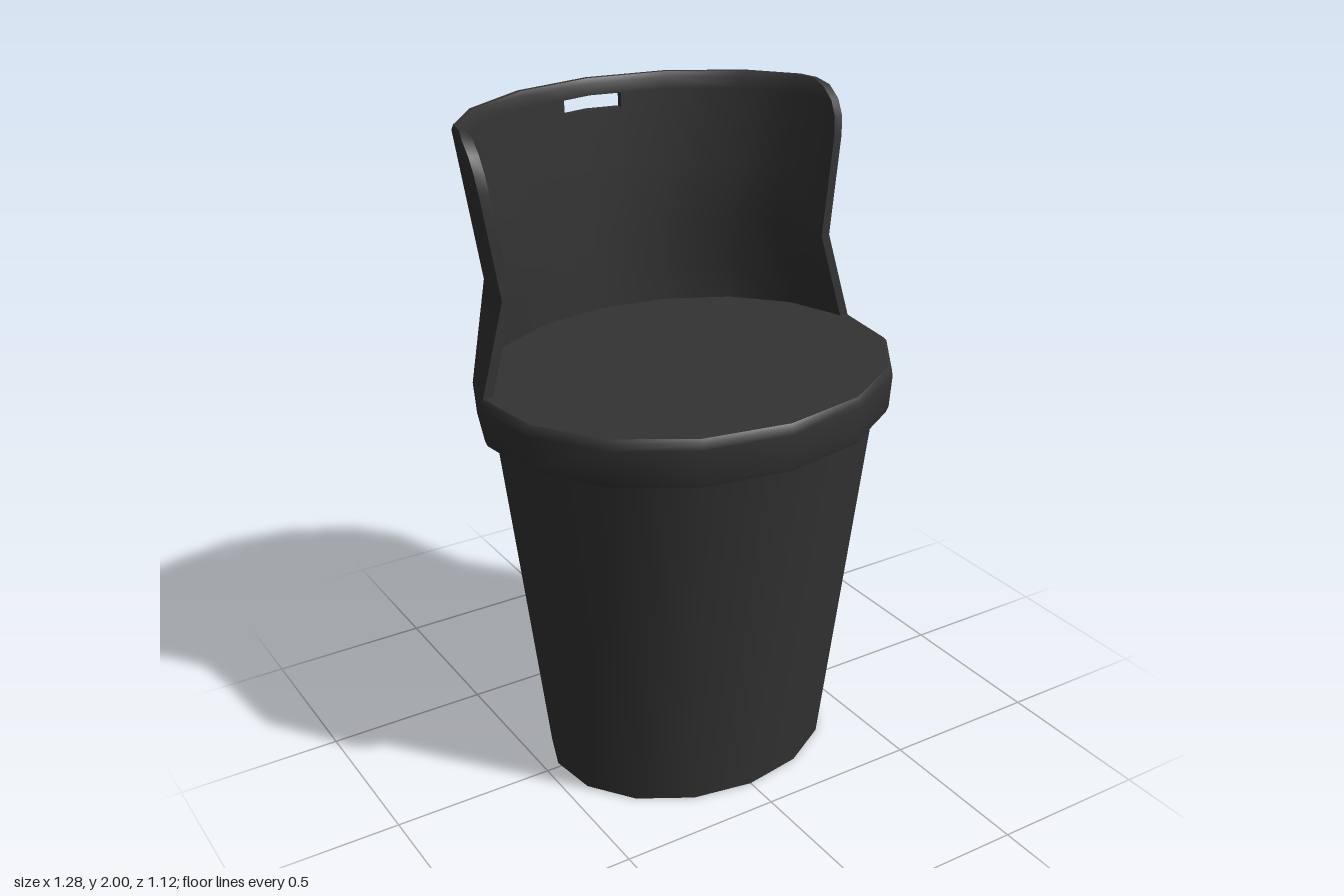
import * as THREE from 'three';
import { toCreasedNormals } from 'three/addons/utils/BufferGeometryUtils.js';

const material = new THREE.MeshStandardMaterial({ color: 0x333333, roughness: 0.8 });
const CENTRE_Z = 0.02;

// Angles from the front (+z) round to the back, mirrored into a full ring
const half = [0, 24, 48, 72, 96, 117, 138, 159, 180];
const angles = [...half, ...half.slice(1, -1).reverse().map((d) => 360 - d)]
  .map(THREE.MathUtils.degToRad);

// Collects quads as triangles, leaving out those with no area
function quadMesher() {
  const tri = new THREE.Triangle();
  const positions = [];
  const add = (a, b, c) => {
    if (tri.set(a, b, c).getArea() > 1e-7) {
      for (const p of [a, b, c]) positions.push(p.x, p.y, p.z);
    }
  };
  return {
    quad(a, b, c, d) { add(a, b, c); add(a, c, d); },
    mesh(name, crease) {
      const g = new THREE.BufferGeometry();
      g.setAttribute('position', new THREE.Float32BufferAttribute(positions, 3));
      const mesh = new THREE.Mesh(toCreasedNormals(g, crease), material);
      mesh.name = name;
      return mesh;
    },
  };
}

// Solid from oval rings [y, half width, half depth], closed at both ends
function ovalLoft(name, profile) {
  const first = profile[0], last = profile[profile.length - 1];
  const rings = [[first[0], 0, 0], ...profile, [last[0], 0, 0]].map(([y, a, b]) =>
    angles.map((t) => new THREE.Vector3(a * Math.sin(t), y, CENTRE_Z + b * Math.cos(t))));
  const m = quadMesher();
  for (let i = 0; i < rings.length - 1; i++) {
    for (let j = 0; j < angles.length; j++) {
      const k = (j + 1) % angles.length;
      m.quad(rings[i][j], rings[i][k], rings[i + 1][k], rings[i + 1][j]);
    }
  }
  return m.mesh(name, 0.75);
}

// Half outlines [x, z] of the backrest from the middle of the back to its end
const levels = [
  { y: 1.25, pts: [[0, -0.52], [0.231, -0.484], [0.432, -0.381], [0.575, -0.225], [0.641, -0.036]] },
  { y: 1.55, pts: [[0, -0.535], [0.235, -0.49], [0.41, -0.38], [0.515, -0.24], [0.555, -0.046]] },
  { y: 2.0, pts: [[0, -0.56], [0.255, -0.515], [0.47, -0.39], [0.585, -0.25], [0.622, -0.07]] },
];
const THICKNESS = 0.03;
const SLOT = 0.41; // slot end, as a share of the first segment

// Rows [y, reach of the end column, inset], rounding the upper corners
const rows = [[1.25, 1, 0], [1.4, 1, 0], [1.55, 1, 0], [1.72, 1, 0], [1.85, 1, 0],
  [1.905, 0.96, 0], [1.95, 0.84, 0], [1.985, 0.62, 0], [2.0, 0.36, 0.008]];
const columns = [-4, -3, -2, -1, -SLOT, 0, SLOT, 1, 2, 3, 4];

function shellPoint([y, reach, inset], u, depth) {
  const k = y < levels[1].y ? 0 : 1;
  const t = (y - levels[k].y) / (levels[k + 1].y - levels[k].y);
  const s = Math.abs(u) === 4 ? 3 + reach : Math.abs(u);
  const seg = Math.min(Math.floor(s), 3), f = s - seg;
  const at = (level, axis) =>
    THREE.MathUtils.lerp(level.pts[seg][axis], level.pts[seg + 1][axis], f);
  const x = THREE.MathUtils.lerp(at(levels[k], 0), at(levels[k + 1], 0), t) * Math.sign(u);
  const z = THREE.MathUtils.lerp(at(levels[k], 1), at(levels[k + 1], 1), t);
  // Move inward, toward the middle of the seat
  const shrink = 1 - (depth + inset * (depth ? -1 : 1)) / Math.hypot(x, z);
  return new THREE.Vector3(x * shrink, y, z * shrink);
}

// Curved wall with thickness and a hand slot near its top
function backrest() {
  const outer = rows.map((r) => columns.map((u) => shellPoint(r, u, 0)));
  const inner = rows.map((r) => columns.map((u) => shellPoint(r, u, THICKNESS)));
  const solid = (i, j) => i >= 0 && j >= 0 && i < rows.length - 1 && j < columns.length - 1
    && !(i === 5 && (j === 4 || j === 5));
  const m = quadMesher();
  for (let i = 0; i < rows.length - 1; i++) {
    for (let j = 0; j < columns.length - 1; j++) {
      if (!solid(i, j)) continue;
      const c = [[i, j], [i + 1, j], [i + 1, j + 1], [i, j + 1]];
      const o = c.map(([a, b]) => outer[a][b]);
      const n = c.map(([a, b]) => inner[a][b]);
      m.quad(...o);
      m.quad(n[3], n[2], n[1], n[0]);
      // Edge walls wherever there is no neighbouring cell
      [[0, -1], [1, 0], [0, 1], [-1, 0]].forEach(([di, dj], e) => {
        const q = (e + 1) % 4;
        if (!solid(i + di, j + dj)) m.quad(o[q], o[e], n[e], n[q]);
      });
    }
  }
  return m.mesh('backrest', 0.75);
}

export function createModel() {
  const group = new THREE.Group();
  group.name = 'tubChair';
  group.add(
    // Tapered base
    ovalLoft('base', [[0, 0.455, 0.37], [1.15, 0.594, 0.492]]),
    // Seat with softly rounded edges
    ovalLoft('seat', [[1.13, 0.615, 0.515], [1.137, 0.63, 0.529], [1.155, 0.637, 0.535],
      [1.25, 0.645, 0.54], [1.27, 0.642, 0.537], [1.28, 0.632, 0.528]]),
    backrest(),
  );
  return group;
}
